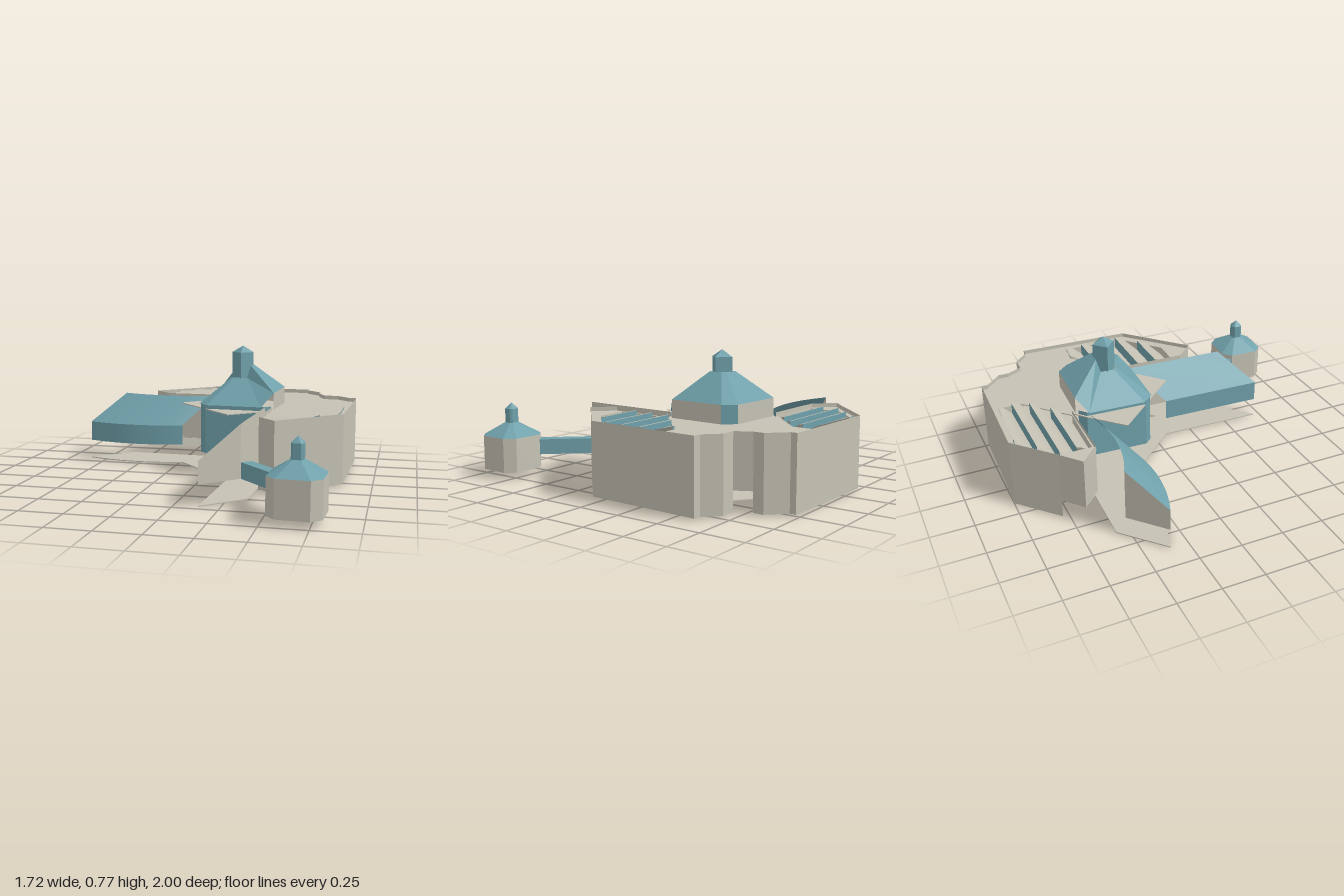
import * as THREE from 'three';

const stone = new THREE.MeshStandardMaterial({ color: 0xc5c2b4, side: THREE.DoubleSide });
stone.name = 'stone';
const copper = new THREE.MeshStandardMaterial({ color: 0x70a1ab, side: THREE.DoubleSide });
copper.name = 'blueCopper';

function add(group, name, geometry, material) {
  const mesh = new THREE.Mesh(geometry, material);
  mesh.name = name;
  group.add(mesh);
  return mesh;
}

// Flat polygons given as corner loops, each fanned into triangles
function faces(polys) {
  const pos = [];
  for (const p of polys) {
    for (let i = 1; i < p.length - 1; i++) pos.push(...p[0], ...p[i], ...p[i + 1]);
  }
  const g = new THREE.BufferGeometry();
  g.setAttribute('position', new THREE.Float32BufferAttribute(pos, 3));
  g.computeVertexNormals();
  return g;
}

// Upright wall following plan points [x, z]
function wall(plan, y0, y1) {
  return faces(plan.slice(1).map((b, i) => {
    const a = plan[i];
    return [[a[0], y0, a[1]], [b[0], y0, b[1]], [b[0], y1, b[1]], [a[0], y1, a[1]]];
  }));
}

// Horizontal slab from a plan outline with holes
function slab(plan, y, thick, holes = []) {
  const toV = (p) => new THREE.Vector2(p[0], -p[1]);
  const shape = new THREE.Shape(plan.map(toV));
  holes.forEach((h) => shape.holes.push(new THREE.Path(h.map(toV))));
  const g = new THREE.ExtrudeGeometry(shape, { depth: thick, bevelEnabled: false });
  return g.rotateX(-Math.PI / 2).translate(0, y, 0);
}

// Surface lofted between two equally long rows of points, smooth along them
function loft(a, b) {
  const pos = [], idx = [];
  a.forEach((p, i) => {
    pos.push(...p, ...b[i]);
    if (i) idx.push(2 * i - 2, 2 * i - 1, 2 * i, 2 * i - 1, 2 * i + 1, 2 * i);
  });
  const g = new THREE.BufferGeometry();
  g.setAttribute('position', new THREE.Float32BufferAttribute(pos, 3));
  g.setIndex(idx);
  g.computeVertexNormals();
  return g;
}

// Points on an arc through start, middle and end, in plan
function arc(s, m, e, n = 16) {
  const c = [0, 1].map((k) => 2 * m[k] - (s[k] + e[k]) / 2);
  return Array.from({ length: n + 1 }, (_, i) => {
    const t = i / n, u = 1 - t;
    return [0, 1].map((k) => u * u * s[k] + 2 * u * t * c[k] + t * t * e[k]);
  });
}

const lift = (pts, y) => pts.map((p) => [p[0], y, p[1]]);

// Smallest and largest x of a convex outline at depth z
function span(poly, z) {
  const xs = [];
  poly.forEach((a, i) => {
    const b = poly[(i + 1) % poly.length];
    if ((a[1] - z) * (b[1] - z) <= 0 && a[1] !== b[1]) {
      xs.push(a[0] + (b[0] - a[0]) * (z - a[1]) / (b[1] - a[1]));
    }
  });
  return [Math.min(...xs), Math.max(...xs)];
}

// Curved stone shells with upright glazing on their north side
function skylight(root, name, poly, count) {
  const g = new THREE.Group();
  g.name = name;
  const zs = poly.map((p) => p[1]);
  const z0 = Math.min(...zs) + 0.001, step = (Math.max(...zs) - 0.001 - z0) / count;
  for (let k = 0; k < count; k++) {
    const left = [], right = [];
    for (let i = 0; i <= 6; i++) {
      const z = z0 + step * (k + i / 6), y = 0.345 + 0.07 * Math.cos(i / 6 * Math.PI / 2);
      const [l, r] = span(poly, z);
      left.push([l, y, z]);
      right.push([r, y, z]);
    }
    add(g, 'skylightShell', loft(left, right), stone);
    const plan = [[left[0][0], left[0][2]], [right[0][0], right[0][2]]];
    add(g, 'skylightGlazing', wall(plan, 0.345, 0.415), copper);
  }
  root.add(g);
}

// Slightly turned square with cut corners: half width h, corner cut c
function octagon(cx, cz, h, c) {
  const k = h - c, turn = 0.05;
  return [[-k, -h], [k, -h], [h, -k], [h, k], [k, h], [-k, h], [-h, k], [-h, -k]]
    .map(([x, z]) => [cx + x - z * turn, cz + z + x * turn]);
}
const closed = (pts) => [...pts, pts[0]];
const tent = (pts, apex) => faces(pts.map((p, i) => [p, pts[(i + 1) % pts.length], apex]));

export function createModel() {
  const root = new THREE.Group();
  root.name = 'building';

  // Main halls
  const tip = [-0.385, -0.79];
  const outer = [tip, [-0.16, -1], [0.505, -0.98], [0.505, -0.945], [0.6, -0.85], [0.6, -0.79]];
  const outerEast = [[0.645, -0.7], [0.73, -0.7], [0.812, -0.618], [0.855, -0.615],
    [0.83, 0.068], [0.483, 0.395], [0.378, 0.285]];
  const westEnd = [[0.02, -0.575], [-0.386, -0.58], [-0.5, -0.69], tip];
  const innerEast = [[0.378, 0.285], [0.39, -0.1]];
  add(root, 'northHallWall', wall(outer, 0.01, 0.42), stone);
  add(root, 'eastHallWall', wall(outerEast, 0.01, 0.42), stone);
  add(root, 'westEndWall', wall(westEnd, 0.12, 0.42), stone);
  add(root, 'innerEastWall', wall(innerEast, 0.12, 0.42), stone);
  add(root, 'entranceWall', wall([[0.6, -0.79], [0.645, -0.7]], 0.12, 0.42), stone);

  // Flat roof with canopy and skylights, and the raised floor below it
  const northLight = [[-0.15, -0.966], [0.25, -0.95], [0.245, -0.807], [0.005, -0.58],
    [-0.354, -0.59], [-0.354, -0.775]];
  const eastLight = [[0.672, -0.36], [0.805, -0.349], [0.798, 0.026], [0.57, 0.238],
    [0.394, 0.233], [0.408, -0.116]];
  const hallEast = [...outer, ...outerEast, [0.388, -0.1], [0.35, -0.09]];
  const hallWest = [[0.02, -0.57], [-0.386, -0.576], [-0.5, -0.69]];
  const canopy = [[0.155, 0.085], [-0.23, -0.33], [-0.06, -0.5]];
  const roof = [...hallEast, ...canopy, ...hallWest];
  add(root, 'flatRoof', slab(roof, 0.39, 0.006, [northLight, eastLight]), stone);
  add(root, 'raisedFloor', slab([...hallEast, ...hallWest], 0.12, 0.005), stone);
  skylight(root, 'northSkylight', northLight, 4);
  skylight(root, 'eastSkylight', eastLight, 5);

  // Ground plate under the wings and court
  const southArc = arc([-0.86, -0.355], [-0.55, -0.288], [-0.23, -0.33]);
  const northArc = arc([-0.67, -0.53], [-0.38, -0.462], [-0.06, -0.5]);
  const ground = [...southArc, [0.155, 0.085], [0.135, 0.71], [0.36, 0.5], [0.385, -0.1],
    [0.54, -0.3], [0.54, -0.5], [0.3, -0.68], [0.1, -0.68], [0.02, -0.55], [-0.63, -0.57]];
  add(root, 'groundPlate', slab(ground, 0, 0.006), stone);

  // Curved west wing, open along its north side and towards the court
  const west = new THREE.Group();
  west.name = 'westWing';
  add(west, 'wingRoof', loft(lift(southArc, 0.245), lift(northArc, 0.42)), copper);
  add(west, 'wingWall', loft(lift(southArc, 0.12), lift(southArc, 0.245)), copper);
  root.add(west);

  // Straight south wing
  const south = new THREE.Group();
  south.name = 'southWing';
  const low = [[0.155, 0.085], [0.135, 0.71]], high = [[0.35, -0.09], [0.325, 0.53]];
  add(south, 'wingRoof', loft(lift(low, 0.245), lift(high, 0.42)), copper);
  add(south, 'wingWall', wall(low, 0.12, 0.245), copper);
  add(south, 'wingBackWall', wall(high, 0.12, 0.42), stone);
  add(south, 'wingFloor', faces([lift([low[0], low[1], high[1], high[0]], 0.12)]), stone);
  root.add(south);

  // Slanted gables at the outer ends of both wings
  const gables = [[southArc[0], northArc[0]], [low[1], high[1]]];
  add(root, 'wingGables', faces(gables.map(([l, h]) => [[l[0], 0.12, l[1]], [h[0], 0.12, h[1]],
    [h[0], 0.42, h[1]], [l[0], 0.245, l[1]]])), stone);

  // Central tower: blue body facing the court, stone upstands behind
  const tower = new THREE.Group();
  tower.name = 'tower';
  const [cx, cz] = [0.17, -0.313];
  const base = octagon(cx, cz, 0.233, 0.064), body = octagon(cx, cz, 0.22, 0.04);
  add(tower, 'towerBody', wall(closed(body).slice(3), 0.12, 0.42), copper);
  add(tower, 'towerNorthWall', wall(base.slice(0, 2), 0.39, 0.5), stone);
  add(tower, 'towerEastWall', wall(base.slice(2, 4), 0.39, 0.5), stone);
  add(tower, 'towerCornerWall', wall(base.slice(1, 3), 0.39, 0.5), copper);

  // Hipped roof, lower towards the court, closing around the lantern
  const eaves = base.map(([x, z], i) => [x, i < 4 ? 0.5 : 0.42, z]);
  const collar = octagon(cx, cz, 0.06, 0.02).map(([x, z], i) => [x, i < 4 ? 0.65 : 0.575, z]);
  add(tower, 'towerRoof', faces(eaves.map((p, i) => {
    const j = (i + 1) % 8;
    return [p, eaves[j], collar[j], collar[i]];
  })), copper);
  const shaft = new THREE.CylinderGeometry(0.067, 0.067, 0.18, 4).toNonIndexed();
  shaft.computeVertexNormals();
  add(tower, 'towerLantern', shaft.translate(cx, 0.64, cz), copper);
  const cap = new THREE.ConeGeometry(0.067, 0.04, 4).toNonIndexed();
  cap.computeVertexNormals();
  add(tower, 'towerLanternCap', cap.translate(cx, 0.75, cz), copper);
  root.add(tower);

  // Detached pavilion
  const pavilion = new THREE.Group();
  pavilion.name = 'pavilion';
  const [px, pz] = [0.673, 0.855];
  const walls = octagon(px, pz, 0.141, 0.053), lantern = octagon(px, pz, 0.032, 0.012);
  add(pavilion, 'pavilionWalls', wall(closed(walls), 0.04, 0.24), stone);
  add(pavilion, 'pavilionFloor', faces([lift(walls, 0.04)]), stone);
  add(pavilion, 'pavilionRoof', tent(lift(walls, 0.24), [px, 0.335, pz]), copper);
  add(pavilion, 'pavilionLantern', wall(closed(lantern), 0.29, 0.395), copper);
  add(pavilion, 'pavilionCap', tent(lift(lantern, 0.395), [px, 0.43, pz]), copper);
  root.add(pavilion);

  // Covered link from the south wing to the pavilion
  const link = add(root, 'pavilionLink', new THREE.BoxGeometry(0.33, 0.09, 0.07), copper);
  link.position.set(0.465, 0.165, 0.625);
  link.rotation.y = -0.82;

  return root;
}
